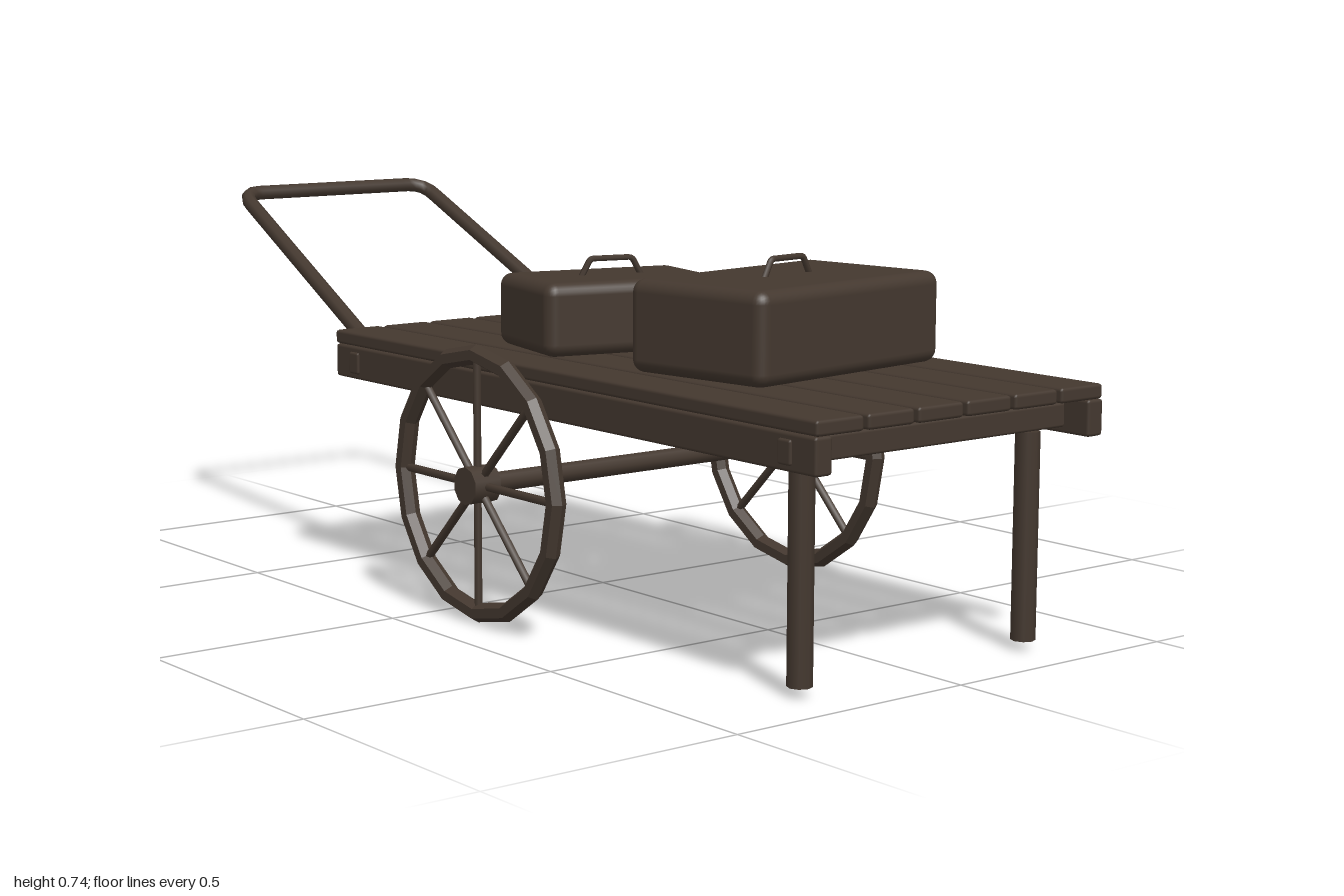
import * as THREE from 'three';
import { RoundedBoxGeometry } from 'three/addons/geometries/RoundedBoxGeometry.js';

export function createModel() {
  const cart = new THREE.Group();
  cart.name = 'handCart';
  const brown = new THREE.MeshStandardMaterial({ color: 0x44382f });
  brown.name = 'darkBrown';

  const add = (parent, name, geo, x = 0, y = 0, z = 0) => {
    const m = new THREE.Mesh(geo, brown);
    m.name = name;
    m.position.set(x, y, z);
    parent.add(m);
    return m;
  };
  const board = (w, h, d, r = 0.006, s = 1) => new RoundedBoxGeometry(w, h, d, s, r);
  const faceted = (geo) => {
    const g = geo.toNonIndexed();
    g.computeVertexNormals();
    return g;
  };
  const rod = (r, len, sides = 8) => new THREE.CylinderGeometry(r, r, len, sides);

  // Tube along a polyline whose inner corners are rounded off
  const bentTube = (points, bend, radius, sides) => {
    const p = points.map((a) => new THREE.Vector3(...a));
    const path = new THREE.CurvePath();
    let from = p[0];
    for (let i = 1; i < p.length - 1; i++) {
      const a = p[i].clone().add(p[i - 1].clone().sub(p[i]).setLength(bend));
      const b = p[i].clone().add(p[i + 1].clone().sub(p[i]).setLength(bend));
      path.add(new THREE.LineCurve3(from, a));
      path.add(new THREE.QuadraticBezierCurve3(a, p[i], b));
      from = b;
    }
    path.add(new THREE.LineCurve3(from, p[p.length - 1]));
    return new THREE.TubeGeometry(path, 90, radius, sides);
  };

  // Deck planks
  for (let i = 0; i < 6; i++) {
    add(cart, 'plank', board(0.104, 0.027, 1.45), (i - 2.5) * 0.1138, 0.4785, 0.275);
  }

  // Cross beams, whose ends poke out through the side rails
  for (const z of [0.925, -0.375]) {
    add(cart, 'crossBeam', board(0.686, 0.044, 0.034, 0.005), 0, 0.432, z);
  }

  // Axle
  add(cart, 'axle', rod(0.019, 0.78), 0, 0.265, 0.125).rotation.z = Math.PI / 2;

  for (const s of [-1, 1]) {
    add(cart, 'sideRail', board(0.037, 0.066, 1.445), s * 0.32, 0.432, 0.2775);
    add(cart, 'leg', rod(0.0225, 0.38), s * 0.268, 0.21, 0.888);

    // Spoked wheel, built facing +z then turned to face sideways
    const wheel = new THREE.Group();
    wheel.name = s > 0 ? 'leftWheel' : 'rightWheel';
    wheel.position.set(s * 0.39, 0.265, 0.125);
    wheel.rotation.y = s * Math.PI / 2;
    add(wheel, 'rim', faceted(new THREE.TorusGeometry(0.244, 0.0185, 6, 16)));
    add(wheel, 'hub', rod(0.036, 0.058, 10)).rotation.x = Math.PI / 2;
    for (let i = 0; i < 4; i++) {
      add(wheel, 'spokePair', rod(0.008, 0.475, 6)).rotation.z = i * Math.PI / 4;
    }
    cart.add(wheel);
  }

  // Push handle
  add(cart, 'pushHandle', bentTube([
    [-0.271, 0.445, -0.4], [-0.236, 0.729, -0.985],
    [0.236, 0.729, -0.985], [0.271, 0.445, -0.4],
  ], 0.045, 0.0155, 8));

  // Suitcases lying on the deck
  const suitcase = (name, w, h, d, x, z, turn) => {
    const g = new THREE.Group();
    g.name = name;
    g.position.set(x, 0.491, z);
    g.rotation.y = turn;
    add(g, 'caseBody', board(w, h, d, 0.024, 3), 0, h / 2, 0);
    add(g, 'caseHandle', bentTube([
      [-0.064, h - 0.005, 0], [-0.044, h + 0.031, 0],
      [0.044, h + 0.031, 0], [0.064, h - 0.005, 0],
    ], 0.008, 0.006, 6));
    cart.add(g);
  };
  suitcase('largeSuitcase', 0.505, 0.17, 0.32, 0.038, 0.5, 0.14);
  suitcase('smallSuitcase', 0.375, 0.14, 0.245, -0.04, 0.078, -0.225);

  return cart;
}
